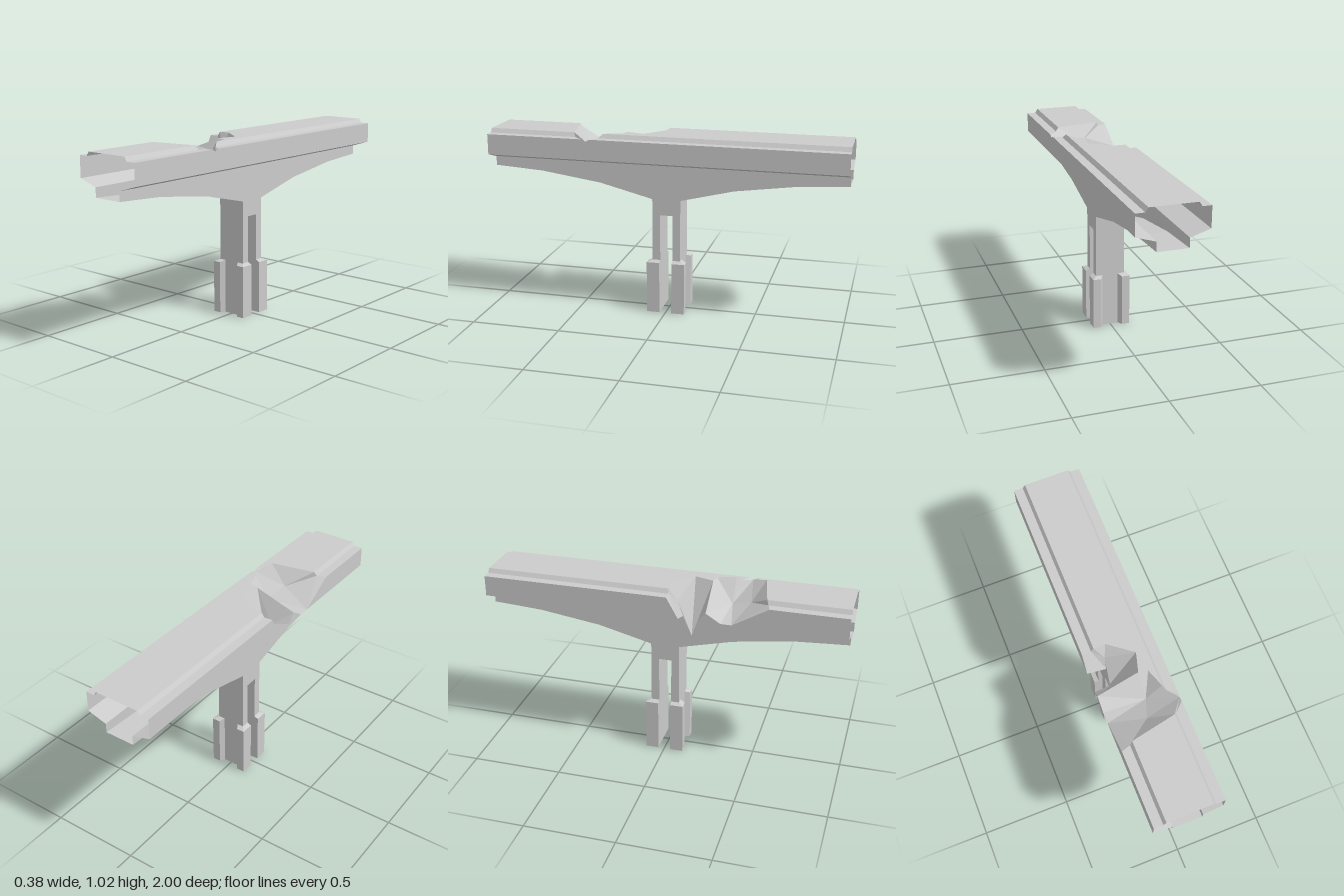
import * as THREE from 'three';

const material = new THREE.MeshStandardMaterial({ color: 0xcccccc, flatShading: true, side: THREE.DoubleSide });

// Flat polygon in space -> triangles whose normals follow the outward hint
function face(points, outward) {
  const p = points.map(q => new THREE.Vector3(...q));
  const hint = new THREE.Vector3(...outward);
  const n = new THREE.Vector3();
  p.forEach((a, i) => n.add(new THREE.Vector3().crossVectors(a, p[(i + 1) % p.length])));
  const size = [Math.abs(n.x), Math.abs(n.y), Math.abs(n.z)];
  const drop = size.indexOf(Math.max(...size));
  const flat = points.map(q => new THREE.Vector2(q[(drop + 1) % 3], q[(drop + 2) % 3]));
  const out = [];
  for (const [i, j, k] of THREE.ShapeUtils.triangulateShape(flat, [])) {
    const normal = p[j].clone().sub(p[i]).cross(p[k].clone().sub(p[i]));
    const order = normal.dot(hint) < 0 ? [i, k, j] : [i, j, k];
    order.forEach(v => out.push(...points[v]));
  }
  return out;
}

function panel(name, faces) {
  const g = new THREE.BufferGeometry();
  g.setAttribute('position', new THREE.Float32BufferAttribute(faces.flat(), 3));
  g.computeVertexNormals();
  const mesh = new THREE.Mesh(g, material);
  mesh.name = name;
  return mesh;
}

export function createModel() {
  const group = new THREE.Group();
  group.name = 'brokenBridgeSection';
  const W = 0.19, K = 0.14, T = 0.125, N = 0.083; // half widths: side, kerb foot, road, web
  const LOW = 0.885, LEDGE = 1.0, TOP = 1.023, NECK = 0.852;
  const up = [0, 1, 0], down = [0, -1, 0];

  // Rim and floor points of the two bites out of the deck
  const a0 = [-W, LEDGE, 0.035], a1 = [-K, LEDGE, 0.033], a2 = [-T, TOP, 0.032], a3 = [-0.06, TOP, 0.03];
  const a4 = [0.07, TOP, 0.13], a5 = [0.04, TOP, 0.235], a6 = [0.09, TOP, 0.245], a7 = [T, TOP, 0.345];
  const a8 = [K, LEDGE, 0.37], a9 = [W, LEDGE, 0.405], notch = [W, 0.988, 0.425];
  const c0 = [W, LEDGE, 0.45], c1 = [K, LEDGE, 0.5], c2 = [T, TOP, 0.51];
  const c3 = [-T, TOP, 0.56], c4 = [-K, LEDGE, 0.57], c5 = [-W, LEDGE, 0.585];
  const b0 = [-W, LOW, 0.10], b1 = [-N, NECK, 0.10], spike = [-N, 0.74, 0.15];
  const b2 = [-N, NECK, 0.19], b3 = [-W, LOW, 0.21], ridge = [-W, 0.935, 0.25];
  const mid = [-0.08, 0.94, 0.07], v0 = [-W, LOW, 0.33], v1 = [0.04, 0.90, 0.345];
  const w0 = [-W, LOW, 0.39], bowl = [0, 0.94, 0.455];

  // Road surface either side of the break
  group.add(panel('road', [
    face([[-T, TOP, -1], [T, TOP, -1], a7, a6, a5, a4, a3, a2], up),
    face([c2, [T, TOP, 1], [-T, TOP, 1], c3], up),
  ]));

  // Sloped kerbs and flat ledges
  const rims = [[-1, a0, a1, a2, c5, c4, c3], [1, a9, a8, a7, c0, c1, c2]];
  for (const [s, outA, footA, topA, outB, footB, topB] of rims) {
    const side = s < 0 ? 'right' : 'left';
    const strips = (name, x0, y0, p0, q0, x1, y1, p1, q1) => group.add(panel(name, [
      face([[s * x0, y0, -1], p0, p1, [s * x1, y1, -1]], [s, 1, 0]),
      face([q0, [s * x0, y0, 1], [s * x1, y1, 1], q1], [s, 1, 0]),
    ]));
    strips(side + 'Kerb', K, LEDGE, footA, footB, T, TOP, topA, topB);
    strips(side + 'Ledge', W, LEDGE, outA, outB, K, LEDGE, footA, footB);
  }

  // Deck sides; the right one is broken into three pieces
  group.add(panel('leftDeckSide', [
    face([[W, LOW, -1], [W, LEDGE, -1], a9, notch, c0, [W, LEDGE, 1], [W, LOW, 1]], [1, 0, 0]),
  ]));
  group.add(panel('rightDeckSide', [
    face([[-W, LOW, -1], [-W, LEDGE, -1], a0, b0], [-1, 0, 0]),
    face([b3, ridge, v0], [-1, 0, 0]),
    face([w0, c5, [-W, LEDGE, 1], [-W, LOW, 1]], [-1, 0, 0]),
  ]));

  // Sloping undersides of the overhangs
  group.add(panel('leftUnderside', [
    face([[W, LOW, -1], [W, LOW, 1], [N, NECK, 1], [N, NECK, -1]], down),
  ]));
  group.add(panel('rightUnderside', [
    face([[-W, LOW, -1], b0, b1, [-N, NECK, -1]], down),
    face([b3, [-W, LOW, 1], [-N, NECK, 1], b2], down),
  ]));

  // Arched web and slotted pier share one outline in (z, y)
  const half = [[1, 0.80], [0.88, 0.793], [0.72, 0.783], [0.38, 0.735], [0.08, 0.66], [0.08, 0], [0.035, 0], [0.035, 0.57]];
  const outline = [...half, ...half.map(([z, y]) => [-z, y]).reverse()];
  const lower = x => outline.map(([z, y]) => [x, y, z]);
  group.add(panel('leftWebAndPierSide', [
    face([...lower(N), [N, NECK, -1], [N, NECK, 1]], [1, 0, 0]),
  ]));
  group.add(panel('rightWebAndPierSide', [
    face([...lower(-N), [-N, NECK, -1], b1, spike, b2, [-N, NECK, 1]], [-1, 0, 0]),
  ]));
  const across = [];
  for (let i = 0; i < outline.length - 1; i++) {
    const [z0, y0] = outline[i], [z1, y1] = outline[i + 1];
    across.push(face([[-N, y0, z0], [N, y0, z0], [N, y1, z1], [-N, y1, z1]], [0, z1 - z0, y0 - y1]));
  }
  group.add(panel('archAndPierFaces', across));

  // Broken faces inside the bites
  const open = [-1, 1, 0];
  const broken = list => list.map(points => face(points, open));
  group.add(panel('deepBite', broken([
    [a0, a1, b0], [a1, b1, b0], [a1, a2, mid], [a2, a3, mid], [a1, mid, b1],
    [a3, a4, mid], [mid, a4, spike], [a4, a5, spike], [mid, spike, b1],
    [a5, b2, spike], [a5, ridge, b2], [ridge, b3, b2],
  ])));
  group.add(panel('shallowBite', broken([
    [ridge, a5, v1], [ridge, v1, v0], [a5, a6, v1], [a6, a7, v1], [a7, a8, v1],
    [a8, a9, notch], [a8, notch, v1], [v0, v1, w0], [v1, bowl, w0],
    [w0, bowl, c4], [w0, c4, c5], [bowl, c3, c4], [bowl, c2, c3],
    [v1, notch, bowl], [notch, c2, bowl], [notch, c1, c2], [notch, c0, c1],
  ])));

  // Corner guards wrapped round the pier base, tops sloping outwards
  const foot = new THREE.Shape([[0.045, 0.08], [0.062, 0.108], [0.107, 0.108], [0.107, 0.035], [N, 0.035], [N, 0.08]]
    .map(q => new THREE.Vector2(...q)));
  const guard = new THREE.ExtrudeGeometry(foot, { depth: 0.307, bevelEnabled: false });
  guard.rotateX(Math.PI / 2).translate(0, 0.307, 0);
  const pos = guard.attributes.position;
  for (let i = 0; i < pos.count; i++) {
    const outer = pos.getX(i) > 0.1 || pos.getZ(i) > 0.1;
    if (outer && pos.getY(i) > 0.2) pos.setY(i, 0.296);
  }
  guard.computeVertexNormals();
  for (const sx of [-1, 1]) for (const sz of [-1, 1]) {
    const mesh = new THREE.Mesh(guard, material);
    mesh.name = (sz > 0 ? 'front' : 'back') + (sx > 0 ? 'Left' : 'Right') + 'CornerGuard';
    mesh.scale.set(sx, 1, sz);
    group.add(mesh);
  }
  return group;
}
